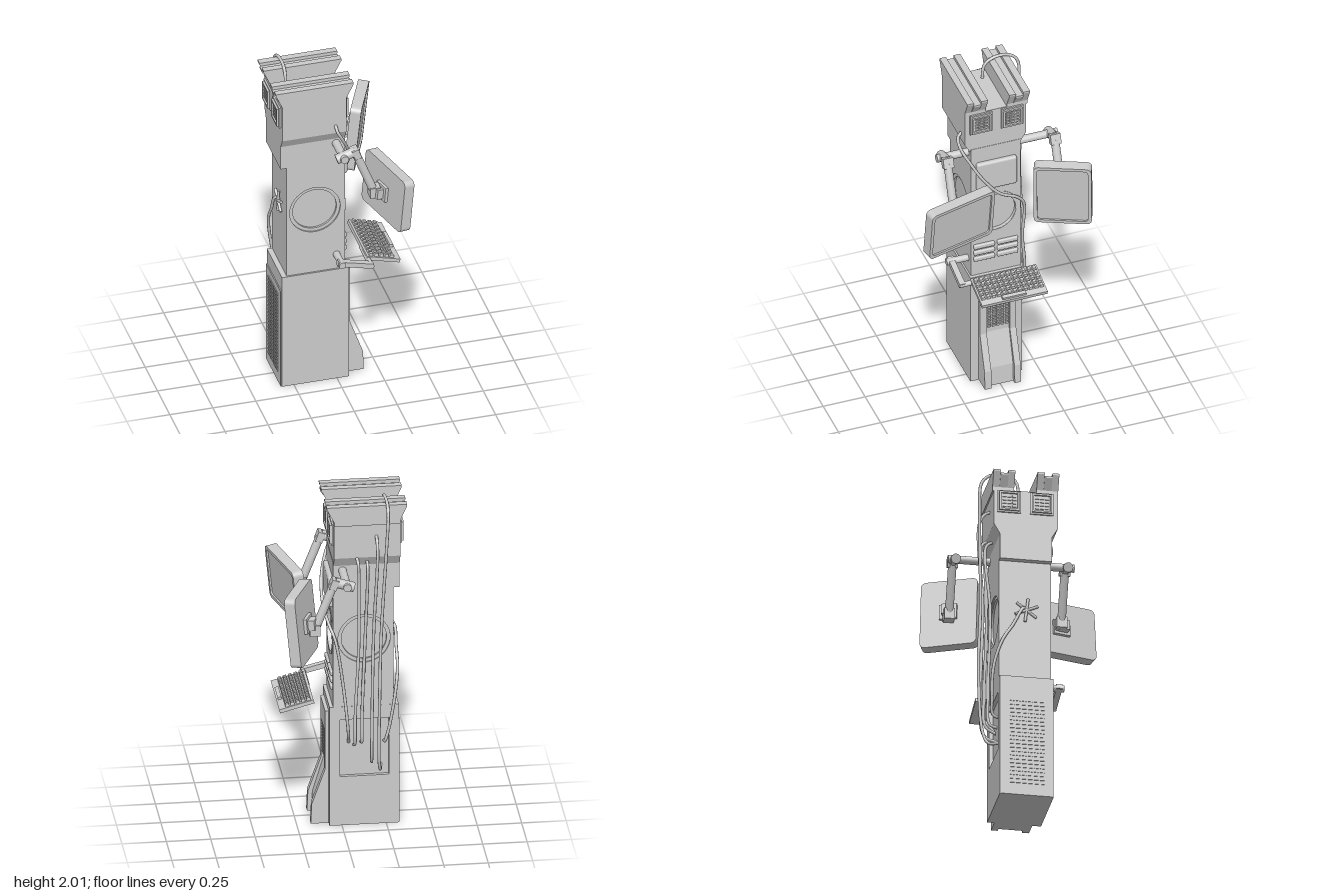
import * as THREE from 'three';
import { RoundedBoxGeometry } from 'three/addons/geometries/RoundedBoxGeometry.js';

const mat = new THREE.MeshStandardMaterial({ color: 0xcccccc });
const V = (x, y, z) => new THREE.Vector3(x, y, z);

function add(parent, name, geo) {
  const m = new THREE.Mesh(geo, mat);
  m.name = name;
  parent.add(m);
  return m;
}
// box from min/max extents
function box(parent, name, x0, x1, y0, y1, z0, z1) {
  const m = add(parent, name, new THREE.BoxGeometry(x1 - x0, y1 - y0, z1 - z0));
  m.position.set((x0 + x1) / 2, (y0 + y1) / 2, (z0 + z1) / 2);
  return m;
}
// round bar between two points
function rod(parent, name, a, b, r) {
  const m = add(parent, name, new THREE.CylinderGeometry(r, r, a.distanceTo(b), 20));
  m.position.copy(a).lerp(b, 0.5);
  m.quaternion.setFromUnitVectors(V(0, 1, 0), b.clone().sub(a).normalize());
  return m;
}
const poly = pts => new THREE.Shape(pts.map(p => new THREE.Vector2(p[0], p[1])));
const rect = (x0, x1, y0, y1) => poly([[x0, y0], [x1, y0], [x1, y1], [x0, y1]]);
const extrude = (shape, depth) =>
  new THREE.ExtrudeGeometry(shape, { depth, bevelEnabled: false, curveSegments: 32 });
function holed(shape, x, y, r) {
  shape.holes.push(new THREE.Path().absarc(x, y, r, 0, Math.PI * 2, true));
  return shape;
}
function roundRect(w, h, r) {
  const s = new THREE.Shape(), x = w / 2 - r, y = h / 2 - r;
  s.absarc(x, y, r, 0, Math.PI / 2);
  s.absarc(-x, y, r, Math.PI / 2, Math.PI);
  s.absarc(-x, -y, r, Math.PI, Math.PI * 1.5);
  s.absarc(x, -y, r, Math.PI * 1.5, Math.PI * 2);
  return s;
}
// XY profile extruded from z0 to z1
function slabZ(parent, name, shape, z0, z1) {
  const m = add(parent, name, extrude(shape, z1 - z0));
  m.position.z = z0;
  return m;
}
// profile in (-z, y) extruded from x0 to x1
function slabX(parent, name, shape, x0, x1) {
  const m = add(parent, name, extrude(shape, x1 - x0));
  m.rotation.y = Math.PI / 2;
  m.position.x = x0;
  return m;
}

function buildBase(g) {
  box(g, 'baseCore', -0.32, 0.07, 0, 0.73, -0.135, 0.15);
  // back plate with a cable recess
  const back = rect(-0.32, 0.07, 0, 0.73);
  back.holes.push(rect(-0.265, 0.01, 0.3, 0.65));
  slabZ(g, 'baseBackPlate', back, -0.156, -0.135);
  // louvred panel on the right side
  box(g, 'sidePanel', -0.326, -0.32, 0, 0.635, -0.15, 0.145);
  for (let c = 0; c < 6; c++) for (let r = 0; r < 22; r++)
    box(g, 'sideLouvre', -0.331, -0.325, 0.07 + r * 0.024, 0.086 + r * 0.024, -0.1 + c * 0.034, -0.074 + c * 0.034);
  // flared foot: two rails and a sunken centre
  const foot = d => poly([[0.05, 0], [0.17 - d, 0], [0.165 - d, 0.12], [0.09 - d / 2, 0.33], [0.09 - d / 2, 0.69], [0.05, 0.69]]);
  slabZ(g, 'footRail', foot(0), 0.06, 0.1);
  slabZ(g, 'footRail', foot(0), -0.115, -0.078);
  slabZ(g, 'footCentre', foot(0.025), -0.078, 0.06);
  box(g, 'footTop', 0.05, 0.09, 0.56, 0.69, -0.078, 0.06);
  for (let c = 0; c < 5; c++) for (let r = 0; r < 10; r++)
    box(g, 'footVent', 0.07, 0.086, 0.365 + r * 0.019, 0.376 + r * 0.019, -0.071 + c * 0.026, -0.053 + c * 0.026);
}

function buildColumn(g) {
  box(g, 'columnCore', -0.29, 0.03, 0.72, 1.62, -0.135, 0.12);
  // plates with round recesses and stepped rings
  const ring = (x, r) => holed(new THREE.Shape().absarc(x, 1.145, r, 0, Math.PI * 2), x, 1.145, r - 0.02);
  slabZ(g, 'frontPlate', holed(rect(-0.29, 0.05, 0.72, 1.62), -0.125, 1.145, 0.147), 0.12, 0.14);
  slabZ(g, 'frontRing', ring(-0.125, 0.147), 0.12, 0.132);
  slabZ(g, 'backPlate', holed(rect(-0.29, 0.05, 0.72, 1.62), -0.125, 1.145, 0.147), -0.155, -0.135);
  slabZ(g, 'backRing', ring(-0.125, 0.147), -0.147, -0.135);
  slabX(g, 'sidePlate', holed(rect(-0.12, 0.135, 0.72, 1.62), 0.005, 1.145, 0.122), 0.03, 0.05);
  slabX(g, 'sideRing', ring(0.005, 0.143), 0.046, 0.053);
  // access panel and push buttons
  const panel = add(g, 'accessPanel', new RoundedBoxGeometry(0.05, 0.19, 0.24, 3, 0.015));
  panel.position.set(0.05, 1.425, -0.01);
  for (const z of [0.062, -0.077]) for (const y of [0.93, 0.888, 0.845]) {
    const b = add(g, 'button', new RoundedBoxGeometry(0.03, 0.03, 0.125, 3, 0.009));
    b.position.set(0.05, y, z);
  }
}

function buildHead(g) {
  const head = poly([[-0.14, 1.45], [0.155, 1.45], [0.155, 1.6], [0.19, 1.66], [0.19, 1.87], [-0.175, 1.87], [-0.175, 1.66], [-0.14, 1.6]]);
  slabX(g, 'head', head, -0.325, 0.048);
  // flared crests, each with a groove along its top
  const crest = top => poly([[-0.325, 1.86], [0.048, 1.86], [0.048, 1.885], [0.09, top - 0.01], [0.09, top], [-0.362, top], [-0.362, top - 0.01], [-0.325, 1.885]]);
  for (const z of [-0.198, 0.052]) {
    slabZ(g, 'crestRidge', crest(1.978), z, z + 0.04);
    slabZ(g, 'crestGroove', crest(1.958), z + 0.04, z + 0.085);
    slabZ(g, 'crestRidge', crest(1.978), z + 0.085, z + 0.123);
  }
  // vents on both sides
  for (const x of [0.048, -0.325]) for (const z of [0.08, -0.105]) {
    const s = x > 0 ? 1 : -1;
    const v = new THREE.Group();
    v.name = 'headVent';
    v.position.set(x, 1.797, z);
    v.rotation.y = s * Math.PI / 2;
    g.add(v);
    box(v, 'ventPlate', -0.066, 0.066, -0.066, 0.066, -0.01, 0.01);
    const rim = rect(-0.057, 0.057, -0.057, 0.057);
    rim.holes.push(rect(-0.047, 0.047, -0.047, 0.047));
    slabZ(v, 'ventRim', rim, 0.01, 0.022);
    for (let c = -1; c <= 1; c++) for (let r = 0; r < 4; r++)
      box(v, 'ventSlat', c * 0.028 - 0.011, c * 0.028 + 0.011, -0.036 + r * 0.02, -0.024 + r * 0.02, 0.01, 0.017);
  }
}

function buildMonitor(g, w, h, pos, yaw) {
  const m = new THREE.Group();
  m.name = 'monitor';
  m.position.copy(pos);
  m.rotation.set(0.1, yaw, 0, 'YXZ');
  g.add(m);
  slabZ(m, 'monitorBody', roundRect(w, h, 0.03), -0.03, 0.022);
  const rim = roundRect(w, h, 0.03);
  rim.holes.push(roundRect(w - 0.04, h - 0.04, 0.02));
  slabZ(m, 'monitorRim', rim, 0.022, 0.032);
  box(m, 'mountPlate', -0.05, 0.05, -0.045, 0.045, -0.048, -0.03);
  box(m, 'mountBlock', -0.03, 0.03, -0.03, 0.03, -0.085, -0.048);
}

// wall post, elbow and sloping strut
function buildArm(g, z0, z, tip) {
  const a = new THREE.Group();
  a.name = 'monitorArm';
  g.add(a);
  const y = 1.57;
  rod(a, 'armPost', V(-0.003, y, z0), V(-0.003, y, z + Math.sign(z) * 0.04), 0.023);
  rod(a, 'armElbow', V(-0.042, y - 0.012, z), V(0.065, y + 0.022, z), 0.028);
  const k = add(a, 'armKnuckle', new THREE.BoxGeometry(0.04, 0.06, 0.06));
  k.position.set(0.07, y + 0.015, z);
  k.rotation.z = 0.35;
  rod(a, 'armStrut', V(0.07, y + 0.01, z), V(0.175, 1.31, z), 0.024);
  rod(a, 'armTip', V(0.175, 1.31, z), tip, 0.024);
  const e = add(a, 'armTipJoint', new THREE.BoxGeometry(0.06, 0.065, 0.06));
  e.position.set(0.178, 1.31, z);
}

function buildKeyboard(g) {
  const a = new THREE.Group();
  a.name = 'keyboardArm';
  g.add(a);
  rod(a, 'armPost', V(0, 0.825, 0.13), V(0, 0.825, 0.268), 0.02);
  const bar = add(a, 'armBar', new THREE.BoxGeometry(0.21, 0.03, 0.034));
  bar.position.set(0.08, 0.806, 0.238);
  bar.rotation.z = -0.24;
  rod(a, 'armCrossbar', V(0.172, 0.782, 0.255), V(0.172, 0.782, 0.05), 0.015);

  const k = new THREE.Group();
  k.name = 'keyboard';
  k.position.set(0.26, 0.77, -0.01);
  k.rotation.z = -0.26;
  g.add(k);
  box(k, 'keyboardTray', -0.1, 0.1, -0.012, 0.01, -0.195, 0.195);
  for (let r = 0; r < 5; r++) for (let c = 0; c < 12; c++) {
    const x = -0.074 + r * 0.031, z = -0.173 + c * 0.0315;
    const key = add(k, 'key', new THREE.CylinderGeometry(0.0125, 0.017, 0.016, 4).rotateY(Math.PI / 4).toNonIndexed());
    key.geometry.computeVertexNormals();
    key.position.set(x, 0.018, z);
  }
  box(k, 'spaceBar', 0.068, 0.09, 0.01, 0.025, -0.07, 0.07);
}

function buildCables(g) {
  const paths = [
    // over the crest and down the back
    [[-0.245, 1.86, -0.035], [-0.245, 1.96, -0.05], [-0.245, 1.995, -0.1], [-0.25, 1.99, -0.19], [-0.25, 1.94, -0.245], [-0.24, 1.75, -0.255], [-0.21, 1.2, -0.245], [-0.2, 0.8, -0.255], [-0.2, 0.42, -0.23], [-0.21, 0.355, -0.2], [-0.22, 0.36, -0.13]],
    [[-0.19, 1.79, -0.18], [-0.19, 1.77, -0.22], [-0.19, 1.7, -0.25], [-0.17, 1.2, -0.225], [-0.16, 0.7, -0.235], [-0.16, 0.42, -0.215], [-0.17, 0.38, -0.13]],
    [[-0.08, 1.66, -0.18], [-0.085, 1.63, -0.215], [-0.09, 1.5, -0.2], [-0.09, 1.1, -0.19], [-0.07, 0.7, -0.2], [-0.07, 0.52, -0.19], [-0.07, 0.48, -0.13]],
    [[-0.14, 1.63, -0.16], [-0.14, 1.6, -0.2], [-0.13, 1.2, -0.175], [-0.11, 0.7, -0.185], [-0.11, 0.52, -0.175], [-0.11, 0.5, -0.13]],
    // from the front of the head, across the left side, to the back
    [[-0.015, 1.71, 0.17], [-0.01, 1.68, 0.195], [0.02, 1.62, 0.19], [0.06, 1.53, 0.145], [0.088, 1.42, 0.08], [0.09, 1.3, -0.02], [0.07, 1.23, -0.13], [0.04, 1.15, -0.18], [0, 0.9, -0.185], [-0.03, 0.6, -0.2], [-0.04, 0.5, -0.13]],
    // from the right side round to the back
    [[-0.285, 1.16, 0], [-0.31, 1.16, -0.02], [-0.315, 1.05, -0.08], [-0.315, 0.95, -0.14], [-0.295, 0.8, -0.185], [-0.26, 0.6, -0.19], [-0.24, 0.52, -0.18], [-0.24, 0.5, -0.13]],
  ];
  for (const p of paths) {
    const curve = new THREE.CatmullRomCurve3(p.map(q => V(...q)), false, 'centripetal');
    add(g, 'cable', new THREE.TubeGeometry(curve, 90, 0.009, 8));
  }
  // star-shaped cable clamp
  for (let i = 0; i < 3; i++) {
    const t = 0.4 + i * Math.PI / 3, c = Math.cos(t) * 0.07, s = Math.sin(t) * 0.07;
    rod(g, 'clampSpoke', V(-0.3, 1.15 - s, -c), V(-0.3, 1.15 + s, c), 0.008);
  }
}

export function createModel() {
  const g = new THREE.Group();
  g.name = 'computerPillar';
  buildBase(g);
  buildColumn(g);
  buildHead(g);
  buildArm(g, 0.12, 0.285, V(0.2, 1.31, 0.285));
  buildArm(g, -0.13, -0.353, V(0.2, 1.32, -0.353));
  buildMonitor(g, 0.427, 0.325, V(0.257, 1.3, 0.285), 1.83);
  buildMonitor(g, 0.325, 0.42, V(0.25, 1.342, -0.335), 1.148);
  buildKeyboard(g);
  buildCables(g);
  return g;
}
